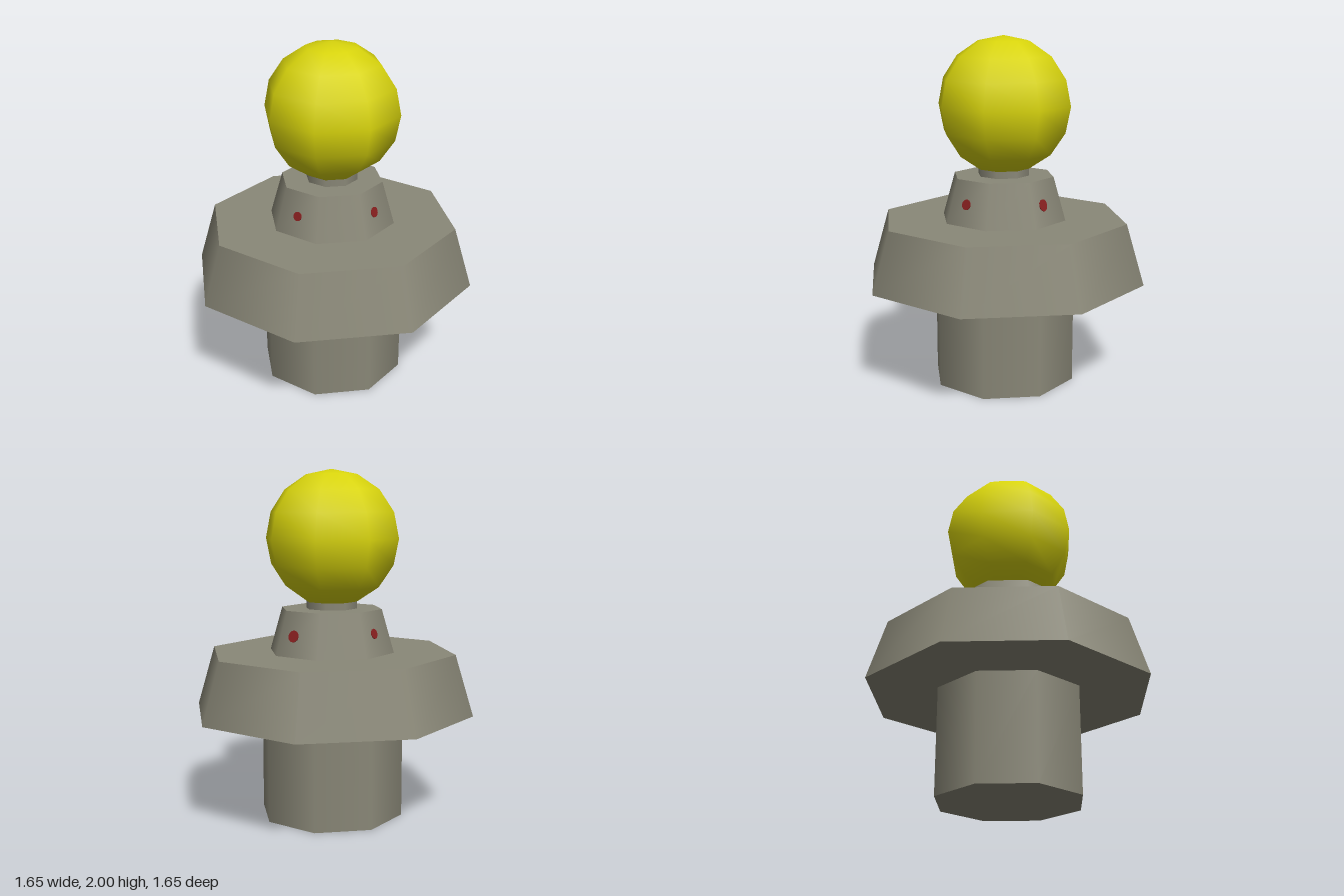
import * as THREE from 'three';

export function createModel() {
  const root = new THREE.Group();
  const material = (name, color) => {
    const m = new THREE.MeshStandardMaterial({ color });
    m.name = name;
    return m;
  };
  const stone = material('warm grey', 0x8a8878);
  const yellow = material('yellow', 0xd8d40c);
  const red = material('dark red', 0x8a2020);

  const add = (name, geometry, mat, parent = root) => {
    const mesh = new THREE.Mesh(geometry, mat);
    mesh.name = name;
    parent.add(mesh);
    return mesh;
  };

  // Eight-sided tiers, stacked from the ground: bottom y, top y, bottom radius, top radius
  const tiers = [
    ['column', 0, 0.61, 0.42, 0.42],
    ['wideTier', 0.61, 0.96, 0.825, 0.72],
    ['collar', 0.96, 1.21, 0.367, 0.295],
    ['neck', 1.21, 1.255, 0.15, 0.15],
  ];
  for (const [name, y0, y1, r0, r1] of tiers) {
    add(name, new THREE.CylinderGeometry(r1, r0, y1 - y0, 8), stone)
      .position.y = (y0 + y1) / 2;
  }

  // Faceted globe on top
  add('globe', new THREE.SphereGeometry(0.39, 8, 8), yellow).position.y = 1.61;

  // Round studs on every second face of the collar: y, sideways offset, radius
  const studs = [
    [1.08, -0.02, 0.03],
    [1.075, -0.038, 0.034],
    [1.085, -0.02, 0.029],
    [1.075, -0.008, 0.027],
  ];
  const apothem = Math.cos(Math.PI / 8);
  const slope = (0.367 - 0.295) / 0.25;
  studs.forEach(([y, offset, radius], i) => {
    const pivot = new THREE.Group();
    pivot.name = 'studMount';
    pivot.rotation.y = Math.PI / 8 + i * Math.PI / 2;
    root.add(pivot);
    const stud = add('stud', new THREE.CylinderGeometry(radius, radius, 0.008, 12), red, pivot);
    stud.position.set(offset, y, (0.367 - (y - 0.96) * slope) * apothem);
    stud.rotation.x = Math.PI / 2 - Math.atan(slope * apothem);
  });

  return root;
}
